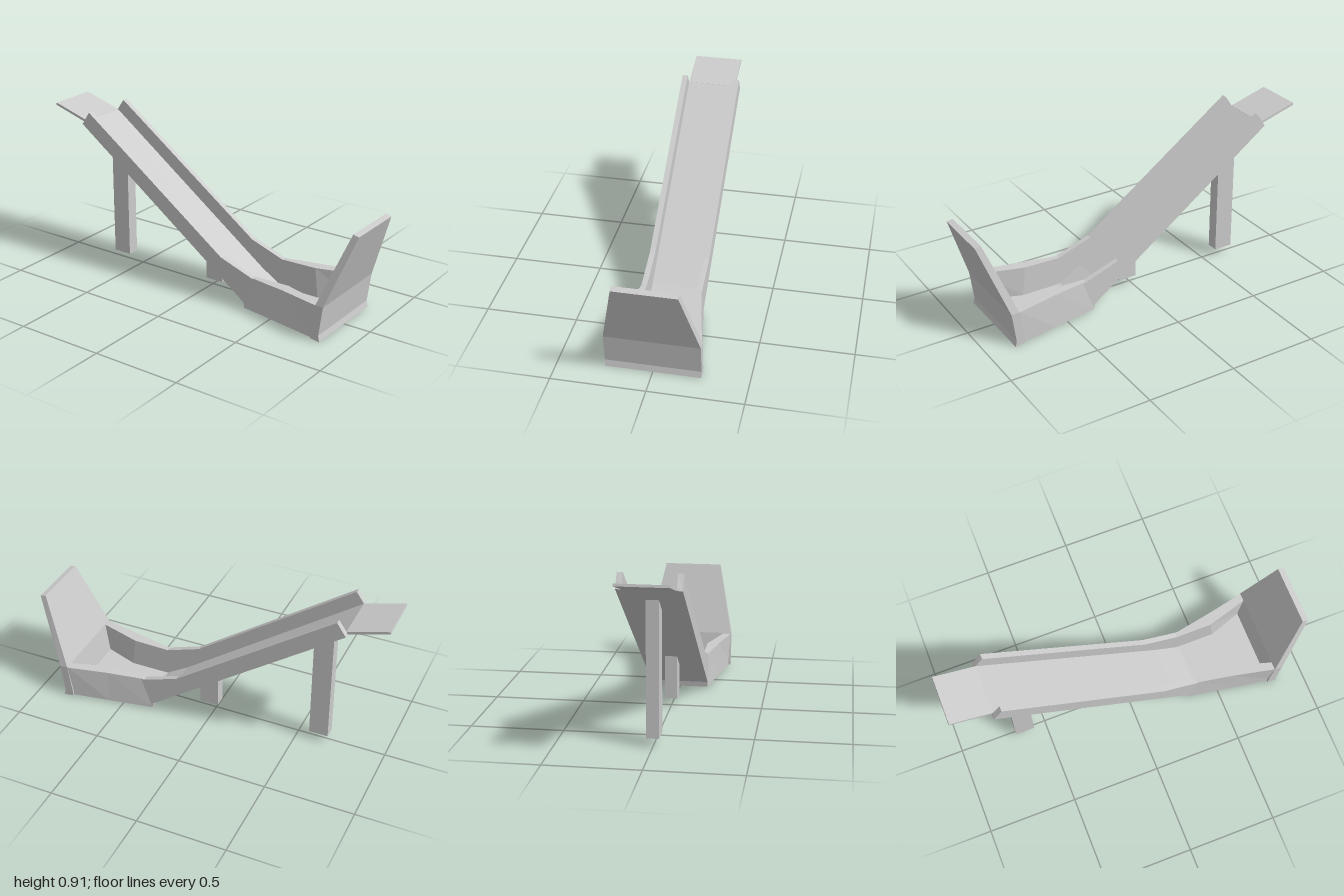
import * as THREE from 'three';

const material = new THREE.MeshStandardMaterial({ color: 0xcccccc, flatShading: true });

function addMesh(group, name, geometry) {
  const mesh = new THREE.Mesh(geometry, material);
  mesh.name = name;
  group.add(mesh);
  return mesh;
}

// Joins equal rings of [x, y, z] points; caps lists the quads that close both ends
function loft(rings, caps) {
  const n = rings[0].length;
  const positions = [];
  const quad = (a, b, c, d) => positions.push(...a, ...b, ...c, ...a, ...c, ...d);
  for (let s = 0; s < rings.length - 1; s++) {
    const a = rings[s], b = rings[s + 1];
    for (let i = 0; i < n; i++) {
      const j = (i + 1) % n;
      quad(a[i], a[j], b[j], b[i]);
    }
  }
  const first = rings[0], last = rings[rings.length - 1];
  for (const [i, j, k, l] of caps) {
    quad(first[l], first[k], first[j], first[i]);
    quad(last[i], last[j], last[k], last[l]);
  }
  const geometry = new THREE.BufferGeometry();
  geometry.setAttribute('position', new THREE.Float32BufferAttribute(positions, 3));
  geometry.computeVertexNormals();
  return geometry;
}

// Side profile in x and y, extruded symmetrically about z = 0
function slab(points, width) {
  const shape = new THREE.Shape(points.map(([x, y]) => new THREE.Vector2(x, y)));
  const geometry = new THREE.ExtrudeGeometry(shape, { depth: width, bevelEnabled: false });
  return geometry.translate(0, 0, -width / 2);
}

// U-shaped section: top rim, underside and floor points with their half widths
function troughRing({ top, bottom, floor, topW, bottomW, innerW }) {
  return [
    [...top, topW], [...bottom, bottomW], [...bottom, -bottomW], [...top, -topW],
    [...top, -innerW], [...floor, -innerW], [...floor, innerW], [...top, innerW],
  ];
}

export function createModel() {
  const model = new THREE.Group();
  model.name = 'slide';

  // Trough: straight chute, bend, then the flared landing
  const narrow = { topW: 0.165, bottomW: 0.165, innerW: 0.135 };
  const stations = [
    { top: [-0.73, 0.91], bottom: [-0.78, 0.835], floor: [-0.773, 0.848], ...narrow },
    { top: [0.17, 0.265], bottom: [0.12, 0.185], floor: [0.24, 0.113], ...narrow },
    { top: [0.37, 0.195], bottom: [0.32, 0.04], floor: [0.37, 0.033], ...narrow },
    { top: [0.39, 0.196], bottom: [0.325, 0.01], floor: [0.39, 0.03], ...narrow },
    { top: [0.58, 0.2], bottom: [0.58, 0.009], floor: [0.6, 0.03], topW: 0.2, bottomW: 0.207, innerW: 0.135 },
    { top: [0.815, 0.2], bottom: [0.835, 0.008], floor: [0.8, 0.03], topW: 0.25, bottomW: 0.25, innerW: 0.205 },
  ];
  addMesh(model, 'trough', loft(stations.map(troughRing), [[0, 1, 6, 7], [1, 2, 5, 6], [2, 3, 4, 5]]));

  // End wall: leans outwards and tapers above the rim
  const wall = [
    { outer: [0.845, 0], inner: [0.79, 0.009], w: 0.252 },
    { outer: [0.838, 0.035], inner: [0.79, 0.035], w: 0.252 },
    { outer: [0.86, 0.2], inner: [0.815, 0.203], w: 0.252 },
    { outer: [1, 0.59], inner: [0.967, 0.598], w: 0.167 },
  ].map(({ outer, inner, w }) => [[...outer, w], [...outer, -w], [...inner, -w], [...inner, w]]);
  addMesh(model, 'endWall', loft(wall, [[0, 1, 2, 3]]));

  // Entry flap at the top of the chute
  addMesh(model, 'entryFlap', slab([[-1, 0.9], [-0.78, 0.835], [-0.772, 0.848], [-0.997, 0.913]], 0.27));

  // Support legs, cut to the slope of the underside
  const underside = (x) => 0.835 - (x + 0.78) * 0.7225 + 0.004;
  for (const [name, x0, x1] of [['upperLeg', -0.68, -0.572], ['lowerLeg', -0.022, 0.085]]) {
    addMesh(model, name, slab([[x0, 0.045], [x1, 0.045], [x1, underside(x1)], [x0, underside(x0)]], 0.066));
  }

  return model;
}
